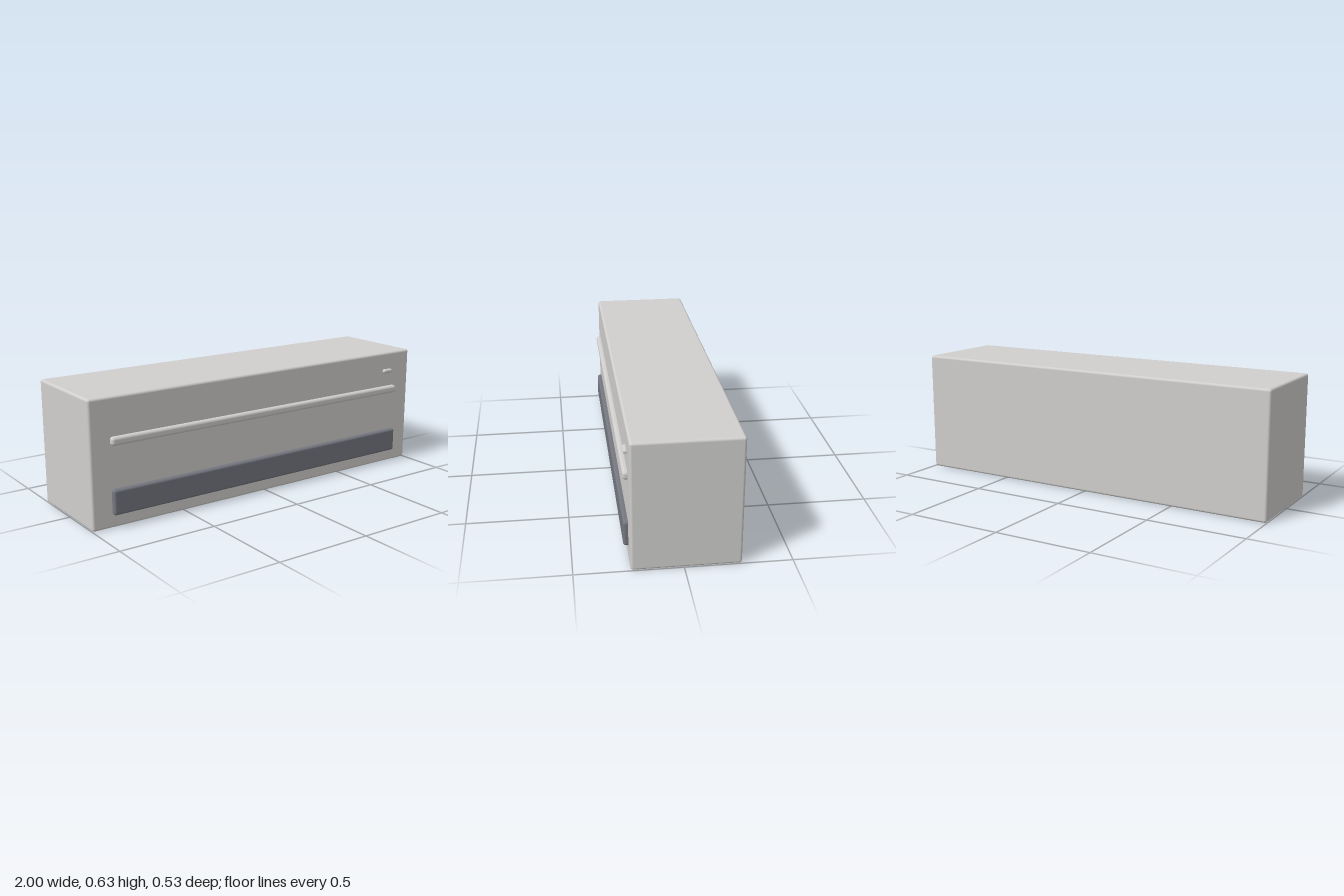
import * as THREE from 'three';
import { RoundedBoxGeometry } from 'three/addons/geometries/RoundedBoxGeometry.js';

const material = (name, color) => {
  const m = new THREE.MeshStandardMaterial({ color });
  m.name = name;
  return m;
};

// Rounded box given by its extents along each axis
function roundedPart(name, mat, [x0, x1], [y0, y1], [z0, z1], radius) {
  const geometry = new RoundedBoxGeometry(x1 - x0, y1 - y0, z1 - z0, 4, radius);
  const mesh = new THREE.Mesh(geometry, mat);
  mesh.name = name;
  mesh.position.set((x0 + x1) / 2, (y0 + y1) / 2, (z0 + z1) / 2);
  return mesh;
}

export function createModel() {
  const shell = material('warm light grey', 0xd0cfcd);
  const dark = material('slate grey', 0x74777f);

  const model = new THREE.Group();
  model.name = 'wallAirConditioner';
  model.add(
    // Casing
    roundedPart('casing', shell, [-1, 1], [0, 0.632], [-0.265, 0.242], 0.0125),
    // Long trim strip across the front
    roundedPart('trimStrip', shell, [-0.895, 0.895], [0.401, 0.443], [0.215, 0.265], 0.0145),
    // Dark air outlet
    roundedPart('airOutlet', dark, [-0.895, 0.895], [0.064, 0.19], [0.215, 0.265], 0.0125),
    // Small indicator pill on the upper right of the front
    roundedPart('indicator', shell, [0.805, 0.87], [0.516, 0.54], [0.234, 0.258], 0.0119),
  );
  return model;
}
